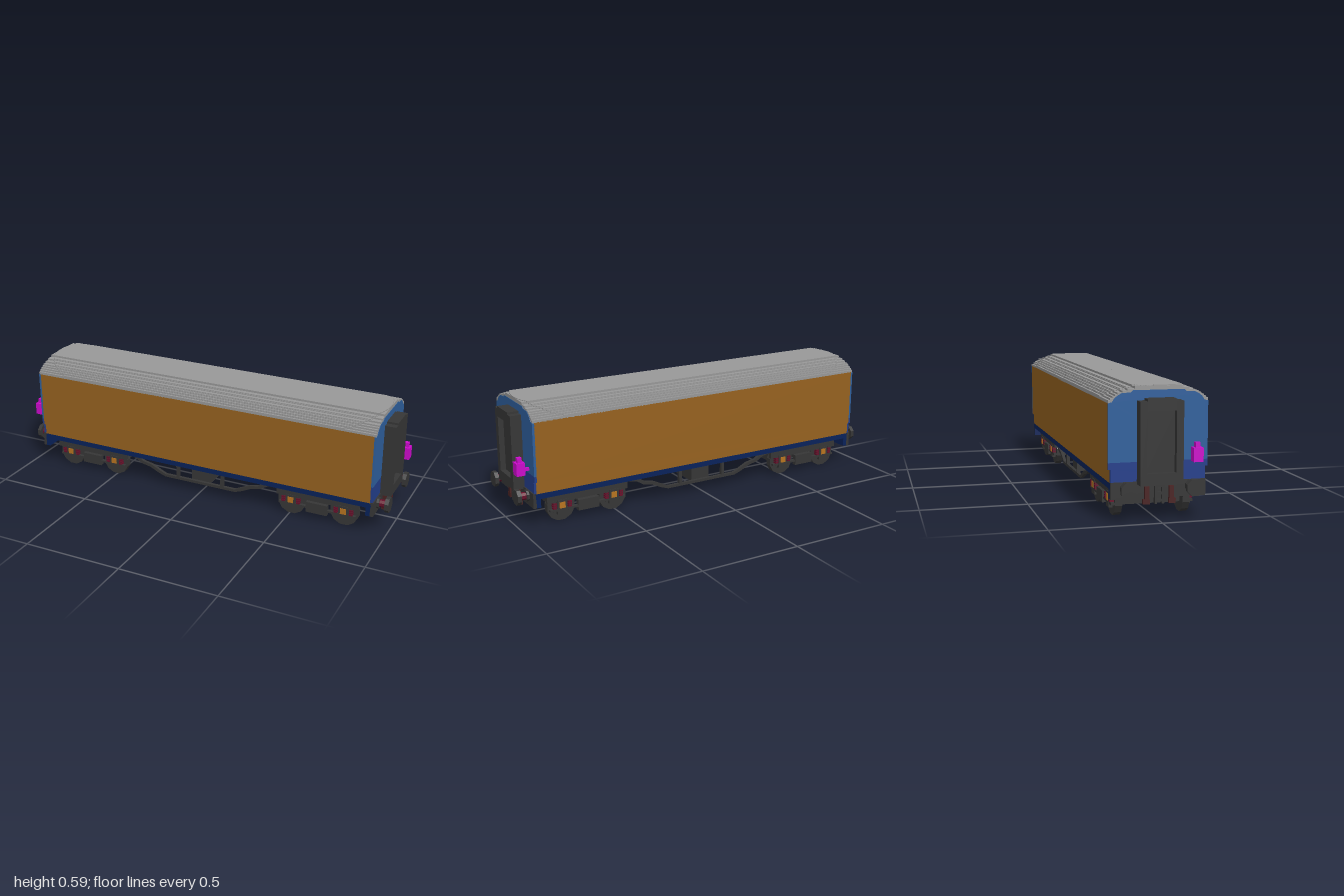
import * as THREE from 'three';

const mat = (name, color) => {
  const m = new THREE.MeshStandardMaterial({ color, flatShading: true });
  m.name = name;
  return m;
};

export function createModel() {
  const roofGrey = mat('roof grey', 0x989898);
  const ochre = mat('side ochre', 0x96621f);
  const blue = mat('end blue', 0x2e5f9c);
  const navy = mat('end navy', 0x233e8a);
  const deepNavy = mat('underframe navy', 0x08225a);
  const black = mat('ironwork black', 0x363636);
  const magenta = mat('lamp magenta', 0xcc0acc);
  const red = mat('spring red', 0x66102a);
  const amber = mat('axle amber', 0xb87420);
  const brown = mat('hose brown', 0x4a2222);

  const model = new THREE.Group();
  model.name = 'coach';

  // Box given by its limits on each axis
  const box = (parent, name, m, x0, x1, y0, y1, z0, z1) => {
    const mesh = new THREE.Mesh(new THREE.BoxGeometry(x1 - x0, y1 - y0, z1 - z0), m);
    mesh.position.set((x0 + x1) / 2, (y0 + y1) / 2, (z0 + z1) / 2);
    mesh.name = name;
    parent.add(mesh);
    return mesh;
  };
  // Polygonal cylinder lying along x or z, with a flat at the top
  const round = (parent, name, m, axis, r, len, sides, x, y, z) => {
    const g = new THREE.CylinderGeometry(r, r, len, sides);
    g.rotateY(Math.PI / sides);
    if (axis === 'x') g.rotateZ(Math.PI / 2);
    else g.rotateX(Math.PI / 2);
    const mesh = new THREE.Mesh(g, m);
    mesh.position.set(x, y, z);
    mesh.name = name;
    parent.add(mesh);
  };
  // Outline drawn in (z, y), extruded from x0 to x1
  const crossSection = (parent, name, m, shape, x0, x1) => {
    const g = new THREE.ExtrudeGeometry(shape, { depth: x1 - x0, bevelEnabled: false });
    g.rotateY(Math.PI / 2);
    const mesh = new THREE.Mesh(g, m);
    mesh.position.x = x0;
    mesh.name = name;
    parent.add(mesh);
  };
  const mirrored = (half) => new THREE.Shape([
    ...half.map(([z, y]) => new THREE.Vector2(z, y)),
    ...half.slice().reverse().map(([z, y]) => new THREE.Vector2(-z, y)),
  ]);

  // Body sides with a step near the foot, and the floor
  box(model, 'sidePanels', ochre, -0.922, 0.922, 0.23, 0.52, -0.225, 0.225);
  box(model, 'lowerSides', ochre, -0.922, 0.922, 0.17, 0.23, -0.215, 0.215);
  box(model, 'floor', deepNavy, -0.925, 0.925, 0.143, 0.17, -0.215, 0.215);

  // Stepped roof: a lower skin, and a raised skin with rounded ends
  const roofSteps = [
    [0.225, 0.535], [0.215, 0.543], [0.205, 0.551], [0.194, 0.559],
    [0.183, 0.566], [0.162, 0.574], [0.139, 0.582], [0.107, 0.592],
  ];
  const roof = new THREE.Group();
  roof.name = 'roof';
  model.add(roof);
  let base = 0.518;
  for (const [z, top] of roofSteps) {
    box(roof, 'roofLayer', roofGrey, -0.93, 0.93, base, top - 0.004, -z, z);
    base = top - 0.004;
  }
  const bands = 40;
  for (let i = 0; i < bands; i++) {
    const z0 = -0.225 + (0.45 * i) / bands, z1 = z0 + 0.45 / bands;
    const mid = Math.abs(z0 + z1) / 2;
    const top = roofSteps.filter(([z]) => z >= mid).pop()[1];
    const reach = 0.73 + 0.2 * Math.sqrt(1 - (mid / 0.225) ** 2);
    box(roof, 'raisedRoof', roofGrey, -reach, reach, top - 0.006, top, z0, z1);
  }

  const endTop = mirrored([[0.225, 0.26], [0.225, 0.518], [0.208, 0.522], [0.198, 0.538],
    [0.183, 0.55], [0.165, 0.56], [0.125, 0.562], [0.115, 0.571]]);
  const endFoot = mirrored([[0.215, 0.173], [0.215, 0.23], [0.225, 0.23], [0.225, 0.26]]);
  const gangwayFrame = mirrored([[0.097, 0.163], [0.097, 0.527], [0.065, 0.527], [0.065, 0.537]]);
  gangwayFrame.holes.push(mirrored([[0.065, 0.215], [0.065, 0.485]]));

  // One coach end facing +x; the other is the same turned half round
  for (const turn of [0, Math.PI]) {
    const end = new THREE.Group();
    end.name = 'coachEnd';
    end.rotation.y = turn;
    model.add(end);
    crossSection(end, 'endWall', blue, endTop, 0.92, 0.932);
    crossSection(end, 'endWallFoot', navy, endFoot, 0.92, 0.932);
    crossSection(end, 'gangwayFrame', black, gangwayFrame, 0.93, 0.987);
    box(end, 'gangwayDoor', black, 0.93, 0.96, 0.21, 0.49, -0.07, 0.07);
    box(end, 'bufferBeam', black, 0.922, 0.938, 0.1, 0.174, -0.215, 0.215);
    box(end, 'beamBacking', deepNavy, 0.9, 0.922, 0.1, 0.15, -0.215, 0.215);

    // Buffers and brake hoses on both sides
    for (const s of [-1, 1]) {
      round(end, 'bufferBase', black, 'x', 0.028, 0.014, 8, 0.943, 0.147, s * 0.147);
      round(end, 'bufferShaft', red, 'x', 0.019, 0.045, 8, 0.96, 0.147, s * 0.147);
      round(end, 'bufferHead', black, 'x', 0.039, 0.02, 8, 0.99, 0.147, s * 0.147);
      box(end, 'hose', brown, 0.936, 0.953, 0.075, 0.152, s * 0.055 - 0.01, s * 0.055 + 0.01);
      box(end, 'hoseFoot', brown, 0.936, 0.953, 0.075, 0.097, s * 0.059 - 0.015, s * 0.059 + 0.015);
    }

    // Coupling chain links
    for (const s of [-1, 1]) {
      box(end, 'couplingSide', black, 0.936, 0.955, 0.075, 0.163, s * 0.016 - 0.005, s * 0.016 + 0.005);
    }
    for (const y of [0.09, 0.122, 0.155]) {
      box(end, 'couplingBar', black, 0.936, 0.955, y - 0.005, y + 0.005, -0.012, 0.012);
    }

    // Tail lamp on its bracket
    box(end, 'lampBracket', magenta, 0.93, 0.96, 0.275, 0.29, -0.168, -0.155);
    box(end, 'lampBody', magenta, 0.958, 1, 0.26, 0.322, -0.183, -0.139);
    box(end, 'lampCap', magenta, 0.968, 0.99, 0.322, 0.345, -0.172, -0.15);
  }

  // Truss rods below the floor, one per side
  const trussLine = [[-0.42, 0.145], [-0.42, 0.13], [-0.38, 0.122], [-0.34, 0.098], [-0.29, 0.088],
    [-0.24, 0.064], [-0.2, 0.05]];
  const trussInner = [[-0.2, 0.064], [-0.23, 0.078], [-0.28, 0.102], [-0.33, 0.112], [-0.37, 0.136], [-0.4, 0.145]];
  const flip = (pts) => pts.map(([x, y]) => [-x, y]).reverse();
  const truss = new THREE.Shape([...trussLine, ...flip(trussLine), ...flip(trussInner), ...trussInner.slice()]
    .map(([x, y]) => new THREE.Vector2(x, y)));
  // The inner edge runs back from right to left
  const inner = [...flip(trussInner), ...trussInner];
  truss.setFromPoints([...trussLine, ...flip(trussLine), ...inner].map(([x, y]) => new THREE.Vector2(x, y)));
  for (const s of [-1, 1]) {
    const rod = new THREE.Mesh(new THREE.ExtrudeGeometry(truss, { depth: 0.016, bevelEnabled: false }), black);
    rod.position.z = s * 0.175 - 0.008;
    rod.name = 'trussRod';
    model.add(rod);
    for (const x of [-0.127, 0.127]) {
      box(model, 'trussPost', black, x - 0.008, x + 0.008, 0.06, 0.145, s * 0.175 - 0.008, s * 0.175 + 0.008);
    }
  }
  box(model, 'batteryBox', black, -0.052, 0.052, 0.055, 0.145, -0.165, 0.165);

  // Two four-wheel bogies
  for (const cx of [-0.645, 0.645]) {
    const bogie = new THREE.Group();
    bogie.name = 'bogie';
    bogie.position.x = cx;
    model.add(bogie);
    box(bogie, 'bolster', black, -0.04, 0.04, 0.065, 0.143, -0.16, 0.16);
    for (const wx of [-0.137, 0.137]) {
      box(bogie, 'axle', black, wx - 0.022, wx + 0.022, 0.046, 0.09, -0.15, 0.15);
      for (const s of [-1, 1]) {
        round(bogie, 'wheel', black, 'z', 0.073, 0.032, 12, wx, 0.0705, s * 0.156);
        box(bogie, 'axleBox', black, wx - 0.026, wx + 0.026, 0.036, 0.108, s * 0.181 - 0.009, s * 0.181 + 0.009);
        box(bogie, 'axleCap', amber, wx - 0.015, wx + 0.015, 0.066, 0.096, s * 0.184 - 0.009, s * 0.184 + 0.009);
        for (const d of [-0.039, 0.039]) {
          for (const y of [0.07, 0.081, 0.092]) {
            box(bogie, 'spring', red, wx + d - 0.009, wx + d + 0.009, y - 0.004, y + 0.004, s * 0.182 - 0.01, s * 0.182 + 0.01);
          }
          box(bogie, 'springCore', black, wx + d - 0.006, wx + d + 0.006, 0.05, 0.105, s * 0.18 - 0.008, s * 0.18 + 0.008);
        }
      }
    }
    for (const s of [-1, 1]) {
      box(bogie, 'sideFrame', black, -0.213, 0.213, 0.098, 0.143, s * 0.178 - 0.009, s * 0.178 + 0.009);
      box(bogie, 'lowerBar', black, -0.2, 0.2, 0.054, 0.064, s * 0.18 - 0.009, s * 0.18 + 0.009);
      box(bogie, 'bolsterSpring', black, -0.055, 0.055, 0.036, 0.09, s * 0.181 - 0.012, s * 0.181 + 0.012);
    }
  }
  return model;
}
